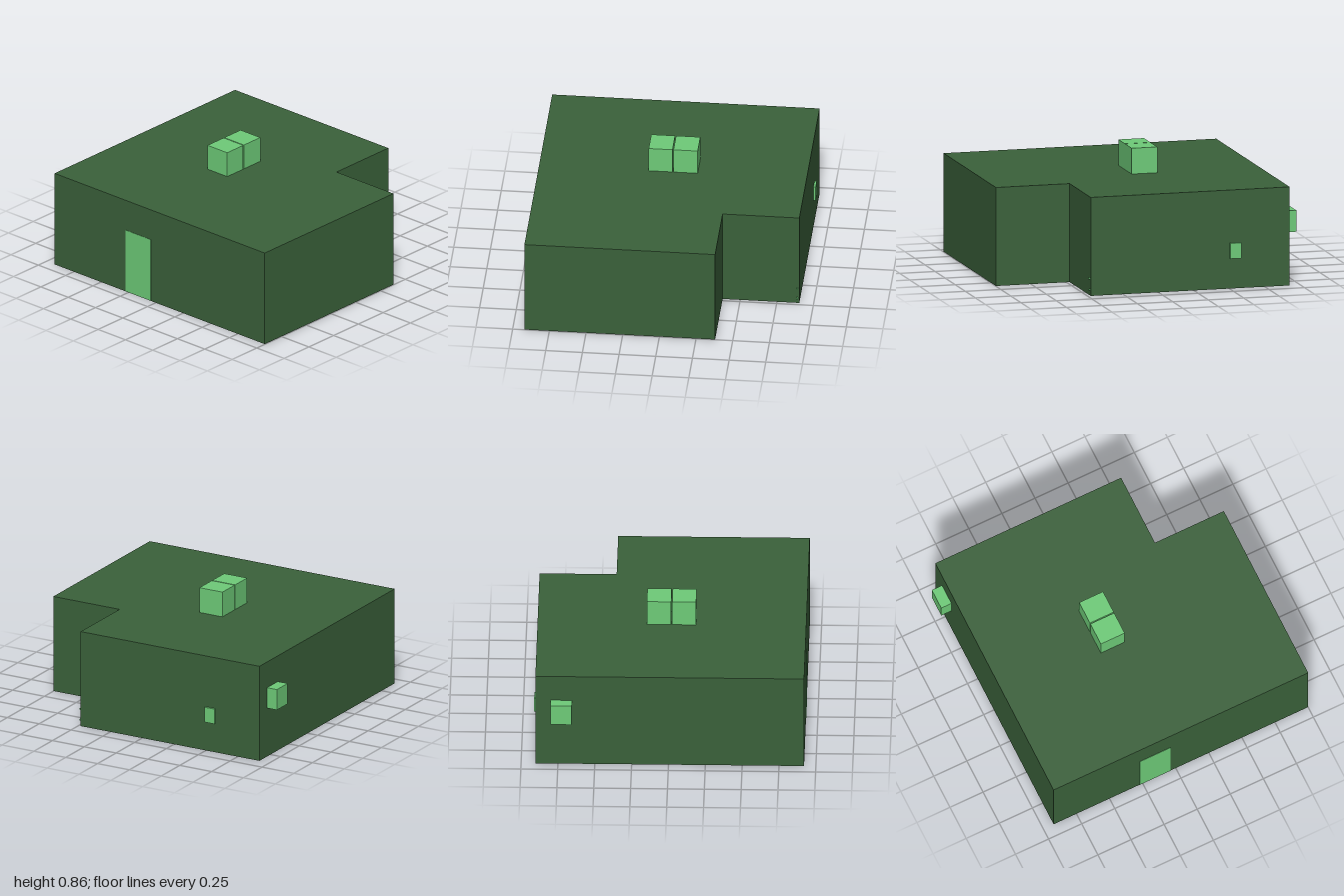
import * as THREE from 'three';

export function createModel() {
  const group = new THREE.Group();
  const dark = new THREE.MeshStandardMaterial({ color: 0x3a613a });
  const light = new THREE.MeshStandardMaterial({ color: 0x6ecb78 });

  // Box given by its minimum and maximum on each axis
  function box(name, [x0, x1], [y0, y1], [z0, z1], material = light) {
    const mesh = new THREE.Mesh(new THREE.BoxGeometry(x1 - x0, y1 - y0, z1 - z0), material);
    mesh.position.set((x0 + x1) / 2, (y0 + y1) / 2, (z0 + z1) / 2);
    mesh.name = name;
    group.add(mesh);
  }

  // L-shaped floor plan raised between two heights
  function planSlab(name, y0, y1) {
    const plan = [[-0.92, 1], [0.38, 1], [0.38, 0.48], [0.903, 0.48], [0.903, -0.923], [-0.92, -0.923]];
    const shape = new THREE.Shape(plan.map(([x, z]) => new THREE.Vector2(x, -z)));
    const geometry = new THREE.ExtrudeGeometry(shape, { depth: y1 - y0, bevelEnabled: false });
    geometry.rotateX(-Math.PI / 2);
    const mesh = new THREE.Mesh(geometry, dark);
    mesh.position.y = y0;
    mesh.name = name;
    group.add(mesh);
  }

  // Building shell and floor
  planSlab('floorSlab', 0.002, 0.008);
  planSlab('buildingBody', 0.008, 0.682);

  // Twin rooftop unit, separated by a narrow seam
  box('roofUnitRight', [-0.173, -0.011], [0.68, 0.86], [-0.2, -0.02]);
  box('roofUnitLeft', [-0.004, 0.161], [0.68, 0.86], [-0.2, -0.02]);

  // Wall-mounted units
  box('backWallUnit', [0.655, 0.8], [0.35, 0.497], [-1, -0.92]);
  box('sideWallBox', [0.9, 0.918], [0.21, 0.317], [-0.58, -0.5]);

  // Door in the side wall
  box('door', [-0.922, -0.9], [0.003, 0.46], [-0.273, -0.042]);

  // Small pipe stubs beside the recessed corner
  for (const y of [0.043, 0.12]) {
    box('pipeStub', [0.883, 0.894], [y - 0.005, y + 0.005], [0.47, 0.495]);
  }

  // Footings of the interior fittings, showing through the floor
  const footings = [
    [[0.56, 0.895], [-0.905, -0.69]],
    [[0.4, 0.555], [-0.905, -0.75]],
    [[-0.1, 0.05], [-0.91, -0.74]],
    [[-0.69, -0.105], [-0.91, -0.75]],
    [[-0.35, -0.21], [-0.28, 0.05]],
    [[0.145, 0.29], [-0.27, -0.18]],
    [[0.14, 0.24], [-0.1, 0]],
    [[0.03, 0.365], [0.84, 0.97]],
  ];
  for (const [x, z] of footings) box('fittingFooting', x, [0, 0.006], z);

  return group;
}
